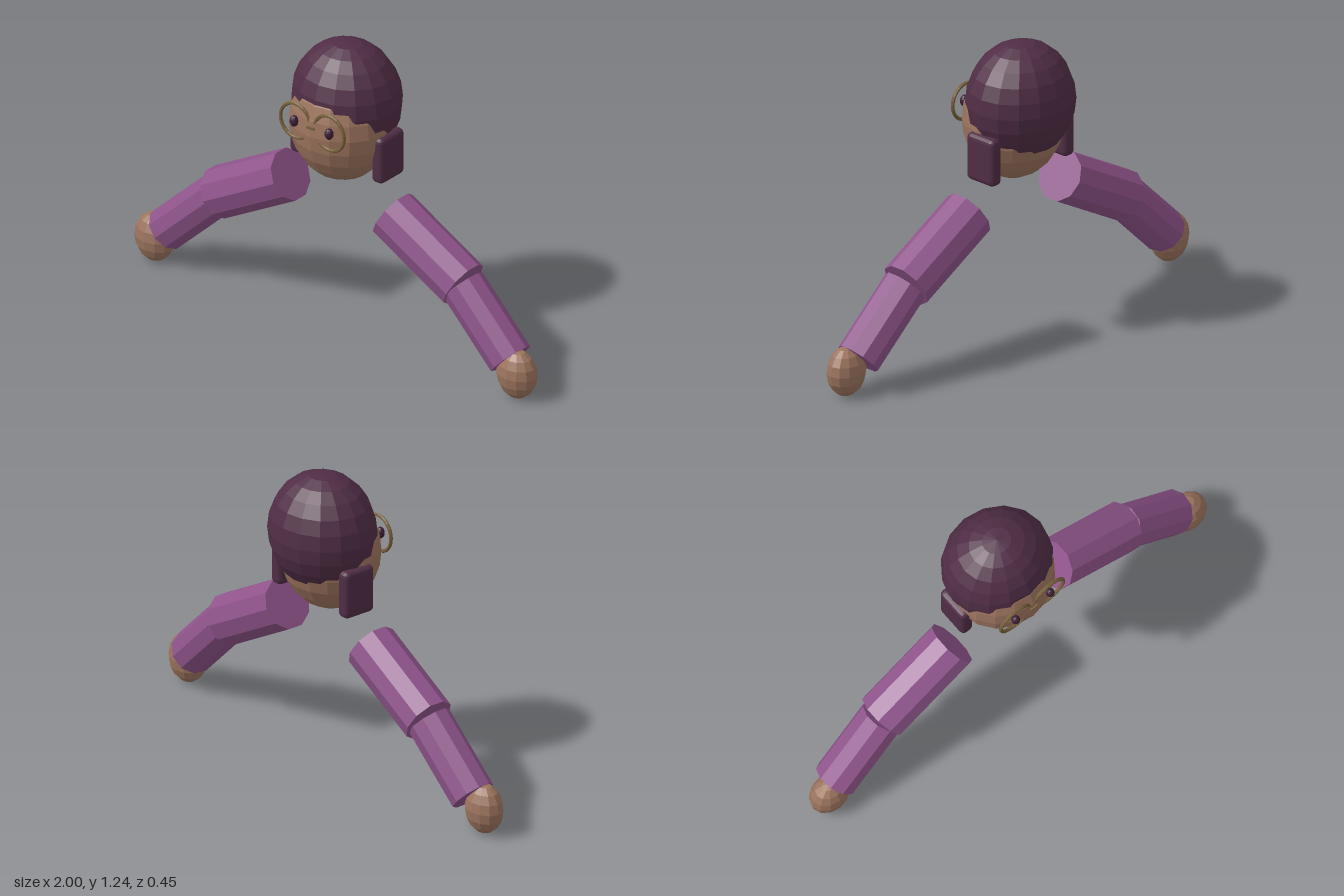
import * as THREE from 'three';
import { RoundedBoxGeometry } from 'three/addons/geometries/RoundedBoxGeometry.js';

const mat = (name, color) => {
  const m = new THREE.MeshStandardMaterial({ color, flatShading: true });
  m.name = name;
  return m;
};

export function createModel() {
  const skin = mat('skin', 0x9c745e);
  const hair = mat('hair', 0x502d45);
  const sleeve = mat('sleeve', 0x8f548b);
  const brass = mat('brass', 0x77603a);
  const dark = mat('eye', 0x3f2038);

  const model = new THREE.Group();
  model.name = 'figure';

  const add = (name, geometry, material, x, y, z) => {
    const mesh = new THREE.Mesh(geometry, material);
    mesh.name = name;
    mesh.position.set(x, y, z);
    model.add(mesh);
    return mesh;
  };
  const ellipsoid = (rx, ry, rz, w, h) => new THREE.SphereGeometry(1, w, h).scale(rx, ry, rz);
  // Ten-sided sleeve running between two points
  const tube = (name, a, b, r) => {
    const from = new THREE.Vector3(...a), to = new THREE.Vector3(...b);
    const dir = to.clone().sub(from);
    const mid = from.clone().add(to).multiplyScalar(0.5);
    const mesh = add(name, new THREE.CylinderGeometry(r, r, dir.length(), 10), sleeve, mid.x, mid.y, mid.z);
    mesh.quaternion.setFromUnitVectors(new THREE.Vector3(0, 1, 0), dir.normalize());
  };

  // Head, with the hair as a larger shell set up and back
  add('head', ellipsoid(0.216, 0.25, 0.195, 16, 12), skin, 0, 0.915, 0.02);
  add('hair', ellipsoid(0.23, 0.244, 0.207, 16, 12), hair, 0, 1.0, -0.016);

  for (const [side, s] of [['left', 1], ['right', -1]]) {
    // Hair hanging beside the face
    add(side + 'SideHair', new RoundedBoxGeometry(0.06, 0.2, 0.148, 2, 0.022), hair, s * 0.206, 0.81, -0.015);
    // Eye and round lens frame
    add(side + 'Eye', ellipsoid(0.018, 0.024, 0.018, 10, 8), dark, s * 0.088, 0.953, 0.205);
    add(side + 'GlassesRim', new THREE.TorusGeometry(0.075, 0.0075, 6, 24), brass, s * 0.085, 0.953, 0.2);
    // Arm and hand
    tube(side + 'UpperArm', [s * 0.257, 0.583, 0.018], [s * 0.612, 0.386, 0.018], 0.1065);
    tube(side + 'Forearm', [s * 0.612, 0.386, 0.02], [s * 0.864, 0.147, 0.035], 0.091);
    add(side + 'Hand', ellipsoid(0.089, 0.104, 0.069, 12, 8), skin, s * 0.911, 0.106, 0.053);
  }
  add('glassesBridge', new THREE.BoxGeometry(0.035, 0.01, 0.012), brass, 0, 0.953, 0.21);

  return model;
}
